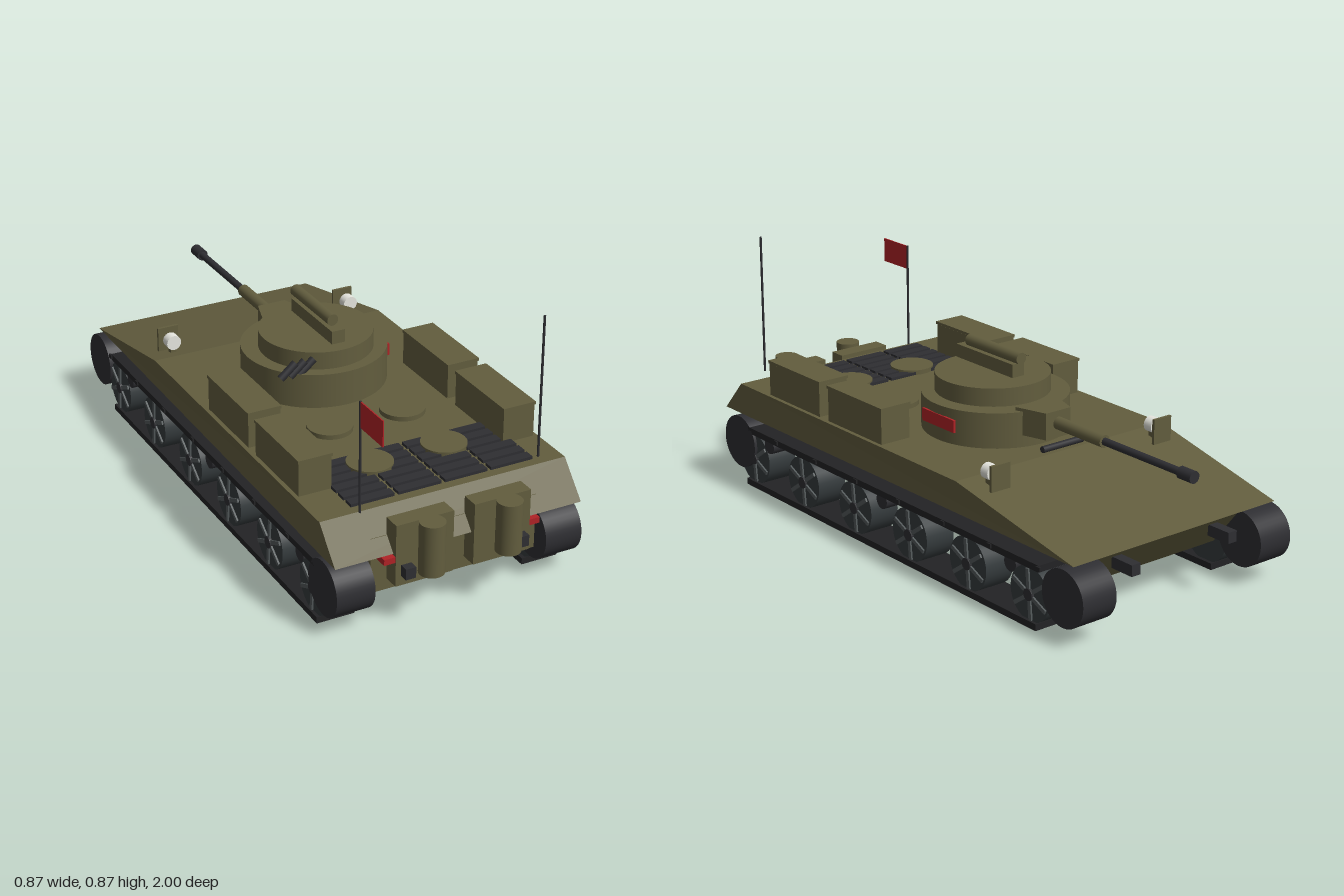
import * as THREE from 'three';

const paint = (name, color, extra = {}) => {
  const m = new THREE.MeshStandardMaterial({ color, ...extra });
  m.name = name;
  return m;
};

export function createModel() {
  const olive = paint('olive armour', 0x625d3e);
  const black = paint('track black', 0x232325);
  const steel = paint('dark steel', 0x2e2e32);
  const slate = paint('wheel slate', 0x353b3d);
  const spokeGrey = paint('spoke grey', 0x53595a);
  const red = paint('signal red', 0xb02226);
  const cloth = paint('flag cloth', 0xb02226, { side: THREE.DoubleSide });
  const white = paint('lamp white', 0xeeeee6);

  const tank = new THREE.Group();
  tank.name = 'tank';

  const add = (name, geometry, material, x = 0, y = 0, z = 0, parent = tank) => {
    const mesh = new THREE.Mesh(geometry, material);
    mesh.name = name;
    mesh.position.set(x, y, z);
    parent.add(mesh);
    return mesh;
  };
  const box = (name, w, h, d, material, x, y, z, parent) =>
    add(name, new THREE.BoxGeometry(w, h, d), material, x, y, z, parent);
  // Cylinder along the chosen axis
  const rod = (name, r, length, axis, material, x, y, z, parent, sides = 32) => {
    const g = new THREE.CylinderGeometry(r, r, length, sides);
    if (axis === 'x') g.rotateZ(Math.PI / 2);
    if (axis === 'z') g.rotateX(Math.PI / 2);
    return add(name, g, material, x, y, z, parent);
  };
  // Side profile in [z, y] pairs, extruded across the width
  const slab = (points, halfWidth) => {
    const shape = new THREE.Shape(points.map(([z, y]) => new THREE.Vector2(-z, y)));
    const g = new THREE.ExtrudeGeometry(shape, { depth: halfWidth * 2, bevelEnabled: false });
    g.translate(0, 0, -halfWidth);
    g.rotateY(Math.PI / 2);
    return g;
  };

  // Upper hull, slightly tapered at the nose
  const upper = slab([[0.9, 0.255], [0.8, 0.365], [-0.4, 0.365], [-0.935, 0.255]], 0.43);
  const pos = upper.attributes.position;
  for (let i = 0; i < pos.count; i++) {
    if (pos.getZ(i) < -0.9) pos.setX(i, Math.sign(pos.getX(i)) * 0.416);
  }
  upper.computeVertexNormals();
  add('upperHull', upper, olive);
  add('lowerHull', slab([[0.86, 0.11], [0.86, 0.3], [-0.9, 0.256], [-0.915, 0.256], [-0.8, 0.11]], 0.29), olive);

  // Running gear, one side at a time
  for (const s of [-1, 1]) {
    const gear = new THREE.Group();
    gear.name = s > 0 ? 'leftRunningGear' : 'rightRunningGear';
    tank.add(gear);
    const x = s * 0.365;
    box('lowerTrackRun', 0.13, 0.022, 1.565, black, x, 0.011, 0, gear);
    box('upperTrackRun', 0.13, 0.022, 1.56, black, x, 0.205, -0.015, gear);
    rod('driveDrum', 0.093, 0.13, 'x', steel, x, 0.148, 0.82, gear, 40);
    rod('idlerDrum', 0.093, 0.13, 'x', steel, x, 0.148, -0.903, gear, 40);
    for (let i = 0; i < 6; i++) {
      const z = 0.742 - i * 0.297;
      rod('roadWheel', 0.09, 0.107, 'x', slate, s * 0.3665, 0.105, z, gear);
      for (let k = 0; k < 3; k++) {
        const spoke = box('wheelSpoke', 0.008, 0.165, 0.013, spokeGrey, s * 0.422, 0.105, z, gear);
        spoke.rotation.x = 0.1 + k * Math.PI / 3;
      }
      rod('wheelHub', 0.02, 0.012, 'x', steel, s * 0.423, 0.105, z, gear, 16);
    }
    for (const z of [0.65, 0, -0.65]) rod('returnRoller', 0.028, 0.11, 'x', steel, x, 0.175, z, gear, 20);
    for (let i = 0; i < 7; i++) {
      box('trackPin', 0.008, 0.014, 0.018, black, s * 0.431, 0.207, 0.59 - i * 0.231, gear);
    }
  }

  // Stowage, lamps and rear fittings in mirrored pairs
  for (const s of [-1, 1]) {
    for (const z of [0.148, 0.492]) {
      box('stowageBox', 0.112, 0.113, 0.293, olive, s * 0.36, 0.42, z);
      box('stowageLid', 0.117, 0.01, 0.3, olive, s * 0.36, 0.483, z);
    }
    box('lampGuard', 0.074, 0.085, 0.01, olive, s * 0.337, 0.387, -0.5);
    rod('headlamp', 0.026, 0.034, 'z', white, s * 0.34, 0.393, -0.457, tank, 20);
    box('lampBracket', 0.02, 0.035, 0.02, olive, s * 0.34, 0.36, -0.457);

    box('rearPanel', 0.198, 0.21, 0.06, olive, s * 0.135, 0.253, 0.885);
    rod('exhaustDrum', 0.041, 0.173, 'y', olive, s * 0.134, 0.282, 0.955);
    box('tailLight', 0.038, 0.02, 0.055, red, s * 0.253, 0.24, 0.885);
    box('rearTowHook', 0.035, 0.037, 0.04, steel, s * 0.198, 0.2, 0.925);
    box('frontTowHook', 0.035, 0.037, 0.09, steel, s * 0.2, 0.2, -0.925);

    for (const z of [0.3, 0.565]) {
      rod('deckHatch', 0.075, 0.025, 'y', olive, s * 0.132, 0.3685, z);
    }
  }

  // Engine deck grille
  for (let row = 0; row < 6; row++) {
    for (let col = 0; col < 4; col++) {
      box('grilleSlat', 0.15, 0.012, 0.034, steel, -0.232 + col * 0.163, 0.369, 0.515 + row * 0.047);
    }
  }

  // Turret
  const turret = new THREE.Group();
  turret.name = 'turret';
  tank.add(turret);
  rod('turretBody', 0.244, 0.12, 'y', olive, 0, 0.424, -0.065, turret, 48);
  rod('turretRoof', 0.191, 0.062, 'y', olive, 0, 0.514, -0.05, turret, 48);
  box('sightBase', 0.048, 0.045, 0.29, olive, 0, 0.578, -0.035, turret);
  rod('sightTube', 0.02, 0.265, 'z', olive, 0, 0.62, -0.063, turret, 20);
  box('sidePlate', 0.008, 0.042, 0.165, red, 0.243, 0.432, -0.075, turret);

  // Mantlet, narrowing forward
  const mantlet = new THREE.BoxGeometry(0.17, 0.09, 0.11);
  const mp = mantlet.attributes.position;
  for (let i = 0; i < mp.count; i++) if (mp.getZ(i) < 0) mp.setX(i, mp.getX(i) * 0.6);
  mantlet.computeVertexNormals();
  add('mantlet', mantlet, olive, 0, 0.45, -0.325, turret);

  // Gun
  rod('gunSleeve', 0.021, 0.23, 'z', olive, 0, 0.453, -0.485, turret, 20);
  rod('gunBarrel', 0.0125, 0.38, 'z', steel, 0, 0.453, -0.77, turret, 20);
  rod('muzzle', 0.02, 0.058, 'z', steel, 0, 0.453, -0.97, turret, 20);
  rod('gunLampBar', 0.011, 0.165, 'x', steel, 0, 0.387, -0.4, turret, 16);

  // Smoke launchers
  for (let i = 0; i < 3; i++) {
    const tube = rod('smokeLauncher', 0.013, 0.07, 'x', steel, -0.186 + i * 0.033, 0.5, 0.115, turret, 16);
    tube.rotation.z = 0.7;
  }

  // Aerial and flag
  rod('aerial', 0.004, 0.48, 'y', steel, 0.33, 0.632, 0.8, tank, 8);
  rod('flagPole', 0.004, 0.375, 'y', steel, -0.295, 0.5475, 0.8, tank, 8);
  box('flag', 0.004, 0.085, 0.135, cloth, -0.295, 0.692, 0.87);

  return tank;
}
